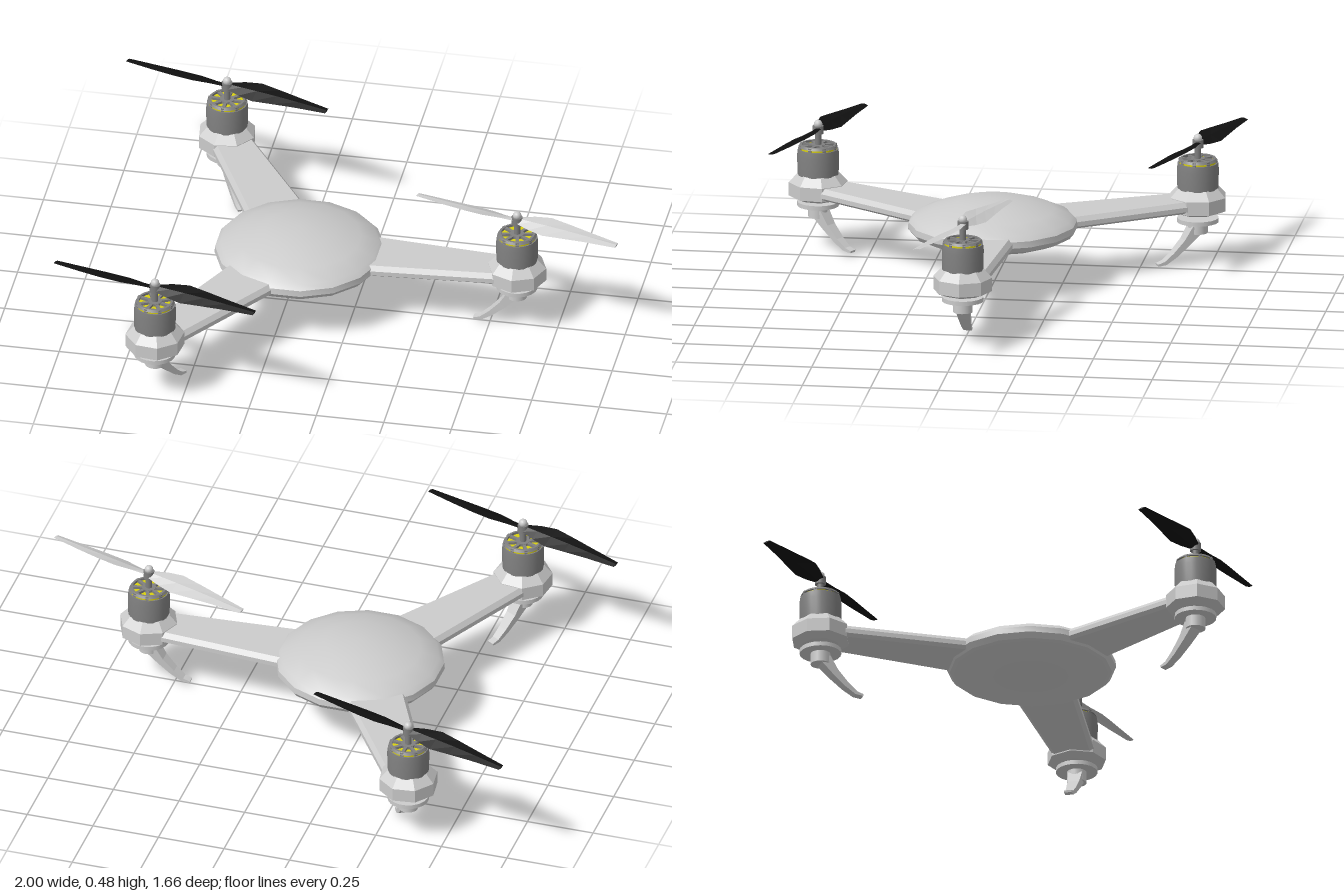
import * as THREE from 'three';
import { toCreasedNormals } from 'three/addons/utils/BufferGeometryUtils.js';

const mat = (color, flatShading = false) =>
  new THREE.MeshStandardMaterial({ color, flatShading, side: THREE.DoubleSide });
const grey = mat(0xcccccc), greyFlat = mat(0xcccccc, true);
const darkGrey = mat(0x808080), yellow = mat(0xd8d010), black = mat(0x111111, true);

function add(parent, name, geometry, material, x = 0, y = 0, z = 0) {
  const mesh = new THREE.Mesh(geometry, material);
  mesh.name = name;
  mesh.position.set(x, y, z);
  parent.add(mesh);
  return mesh;
}

const lathe = (profile, sides, phi = 0) => toCreasedNormals(
  new THREE.LatheGeometry(profile.map(([r, y]) => new THREE.Vector2(r, y)), sides, phi), 0.5);

const drum = (r, y0, y1, sides = 20) =>
  new THREE.CylinderGeometry(r, r, y1 - y0, sides).translate(0, (y0 + y1) / 2, 0);

// Capped loft along a path in the xy plane; each ring point is [normal offset, z]
function loft(path, rings) {
  const pos = [], index = [], n = rings[0].length, last = path.length - 1;
  path.forEach(([x, y], i) => {
    const a = path[Math.max(i - 1, 0)], b = path[Math.min(i + 1, last)];
    const len = Math.hypot(b[0] - a[0], b[1] - a[1]);
    const tx = (b[0] - a[0]) / len, ty = (b[1] - a[1]) / len;
    for (const [off, z] of rings[i]) pos.push(x - ty * off, y + tx * off, z);
  });
  for (let i = 0; i < last; i++) for (let j = 0; j < n; j++) {
    const a = i * n + j, b = i * n + (j + 1) % n;
    index.push(a, b, a + n, b, b + n, a + n);
  }
  for (let j = 1; j < n - 1; j++) {
    index.push(0, j + 1, j, last * n, last * n + j, last * n + j + 1);
  }
  const g = new THREE.BufferGeometry();
  g.setAttribute('position', new THREE.Float32BufferAttribute(pos, 3));
  g.setIndex(index);
  g.computeVertexNormals();
  return g;
}

// Tapered arm with bevelled sides
function armGeometry() {
  const ring = w => [[0.022, -w], [0.022, w], [0.005, w + 0.014],
    [-0.012, w + 0.014], [-0.022, w], [-0.022, -w], [-0.012, -w - 0.014], [0.005, -w - 0.014]];
  return loft([[0.2, 0.226], [0.8, 0.226]], [ring(0.102), ring(0.06)]);
}

// Curved landing leg, lofted from the foot up to the motor
function legGeometry() {
  const path = [[-0.16, 0.012], [-0.132, 0.018], [-0.095, 0.045], [-0.05, 0.088], [-0.012, 0.135]];
  const size = [[0.004, 0.014], [0.007, 0.015], [0.01, 0.018], [0.014, 0.022], [0.022, 0.026]];
  return loft(path, size.map(([t, w]) => [[t, -w], [t, w], [-t, w], [-t, -w]]));
}

// Twisted blade pointing along +x: radius, rear edge, front edge, pitch, half thickness
function bladeGeometry() {
  const stations = [
    [0.01, -0.018, 0.018, 0.3, 0.008], [0.06, -0.032, 0.028, 0.4, 0.006],
    [0.12, -0.045, 0.038, 0.35, 0.005], [0.2, -0.039, 0.031, 0.28, 0.005],
    [0.29, -0.029, 0.022, 0.22, 0.004], [0.408, -0.015, 0.013, 0.15, 0.003]];
  return loft(stations.map(s => [s[0], 0]), stations.map(([, z0, z1, k, t]) => {
    const m = (z0 + z1) / 2;
    return [[-k * z0, z0], [-k * m + t, m], [-k * z1, z1], [-k * m - t, m]];
  }));
}

function createMotor() {
  const motor = new THREE.Group();
  motor.name = 'motor';
  add(motor, 'motorCan', lathe([[0, 0.26], [0.075, 0.26], [0.077, 0.35],
    [0.074, 0.375], [0.069, 0.375], [0.069, 0.365], [0, 0.365]], 24), darkGrey);
  add(motor, 'windings', drum(0.067, 0.36, 0.38, 24), yellow);
  add(motor, 'motorRim', lathe([[0.058, 0.382], [0.072, 0.382], [0.066, 0.391],
    [0.058, 0.391], [0.058, 0.382]], 24), darkGrey);
  add(motor, 'motorCentre', drum(0.026, 0.36, 0.39), darkGrey);
  for (let i = 0; i < 8; i++) {
    const spoke = add(motor, 'motorSpoke',
      new THREE.BoxGeometry(0.05, 0.018, 0.012).translate(0.045, 0, 0), darkGrey, 0, 0.38, 0);
    spoke.rotation.y = i * Math.PI / 4 + 0.2;
  }
  add(motor, 'shaft', drum(0.012, 0.385, 0.468, 12), darkGrey);
  add(motor, 'propellerCollar', drum(0.02, 0.43, 0.46, 12), darkGrey);
  add(motor, 'shaftCap', new THREE.SphereGeometry(0.016, 12, 8), grey, 0, 0.466, 0);
  return motor;
}

function createPropeller(material) {
  const propeller = new THREE.Group();
  propeller.name = 'propeller';
  for (const turn of [0, Math.PI]) {
    add(propeller, 'blade', bladeGeometry(), material).rotation.y = turn;
  }
  propeller.rotation.set(0, -0.295, 0.025);
  return propeller;
}

export function createModel() {
  const model = new THREE.Group();
  model.name = 'tricopter';
  const centre = -0.205, reach = 0.805;

  // Domed disc body with a flat belly
  add(model, 'body', lathe([[0, 0.178], [0.25, 0.178], [0.295, 0.196], [0.31, 0.215],
    [0.308, 0.238], [0.29, 0.256], [0.225, 0.284], [0.13, 0.313], [0, 0.325]],
  16, Math.PI / 16), grey, centre);

  for (let i = 0; i < 3; i++) {
    const angle = i * Math.PI * 2 / 3;
    const branch = new THREE.Group();
    branch.name = 'armAssembly';
    branch.position.x = centre;
    branch.rotation.y = angle;
    model.add(branch);
    add(branch, 'arm', armGeometry(), greyFlat);

    // Faceted motor mount at the end of the arm
    const end = new THREE.Group();
    end.name = 'armEnd';
    end.position.x = reach;
    branch.add(end);
    const mount = new THREE.LatheGeometry([[0, 0.185], [0.07, 0.185], [0.108, 0.2],
      [0.108, 0.25], [0.078, 0.282], [0, 0.282]].map(p => new THREE.Vector2(...p)), 8);
    add(end, 'motorMount', mount, greyFlat);
    end.add(createMotor());

    // Foot base and leg; the rear one sits slightly lower
    const foot = new THREE.Group();
    foot.name = 'landingFoot';
    foot.position.y = i === 1 ? -0.008 : 0;
    end.add(foot);
    add(foot, 'footPlate', drum(0.076, 0.16, 0.176), grey);
    add(foot, 'footSocket', drum(0.036, 0.118, i === 1 ? 0.165 : 0.19), grey);
    add(foot, 'leg', legGeometry(), greyFlat);

    // Propellers all point the same way
    const propeller = createPropeller(i === 0 ? greyFlat : black);
    propeller.position.set(centre + reach * Math.cos(angle), 0.446, -reach * Math.sin(angle));
    model.add(propeller);
  }
  return model;
}
